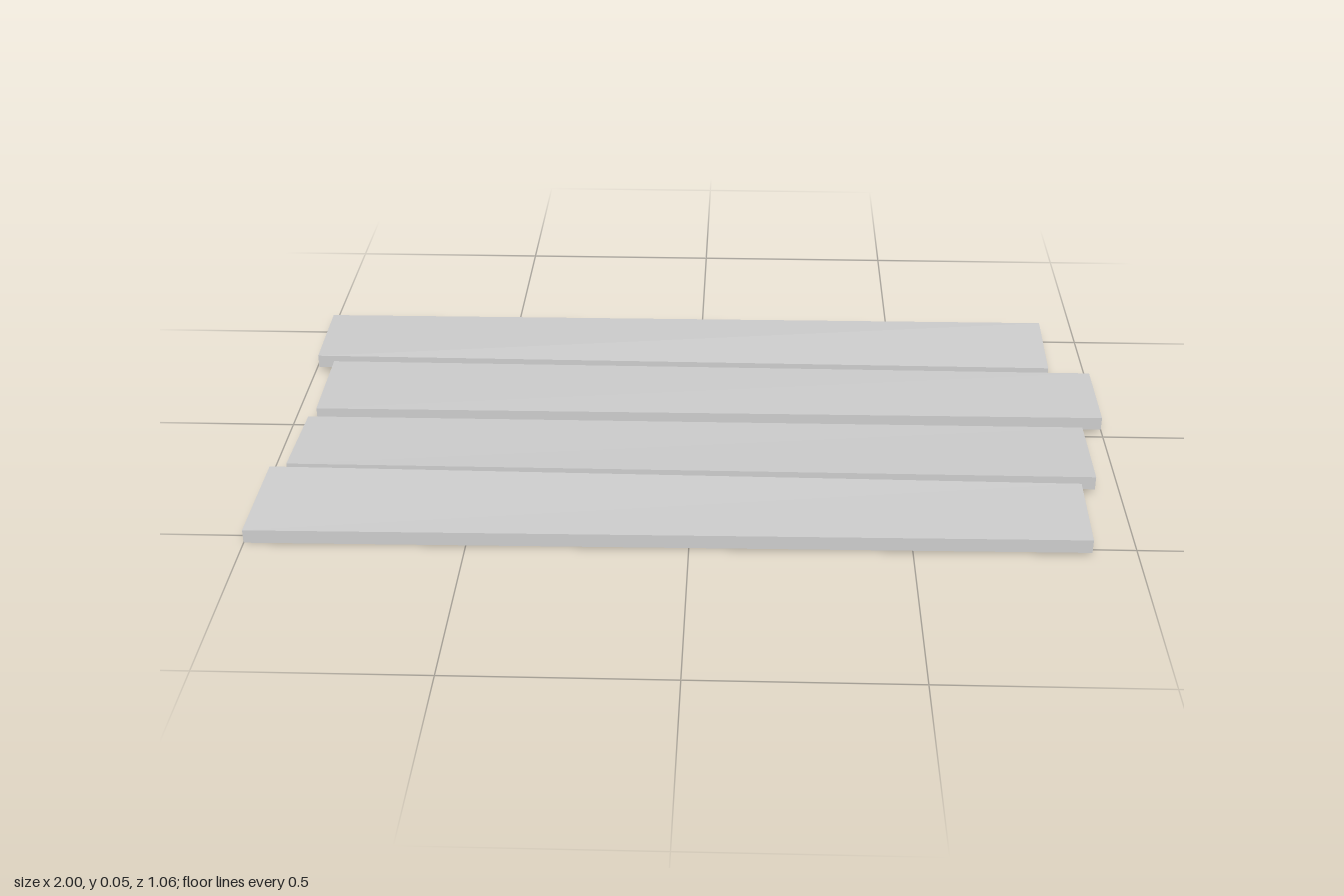
import * as THREE from 'three';

const THICKNESS = 0.033;

// Each end: x and z of the back and front corners, and the underside height there
const planks = [
  { name: 'backPlank',
    right: { x: [-1, -0.99], z: [-0.535, -0.28], y: [0.002, 0.013] },
    left: { x: [0.905, 0.9], z: [-0.525, -0.287], y: [0.012, 0.003] } },
  { name: 'middleBackPlank',
    right: { x: [-0.947, -0.94], z: [-0.268, -0.008], y: [0.004, 0.011] },
    left: { x: [1, 0.997], z: [-0.257, -0.02], y: [0.006, 0.01] } },
  { name: 'middleFrontPlank',
    right: { x: [-0.955, -0.958], z: [0.02, 0.256], y: [0.004, 0.011] },
    left: { x: [0.945, 0.94], z: [0.012, 0.265], y: [0.001, 0.014] } },
  { name: 'frontPlank',
    right: { x: [-0.993, -1], z: [0.275, 0.529], y: [0.014, 0.001] },
    left: { x: [0.904, 0.898], z: [0.285, 0.52], y: [0.008, 0.006] } },
];

// A board whose corners are shifted to give each end its own width and tilt
function makePlank({ name, right, left }, material) {
  const geometry = new THREE.BoxGeometry(1, 1, 1);
  const p = geometry.attributes.position;
  for (let i = 0; i < p.count; i++) {
    const end = p.getX(i) < 0 ? right : left;
    const side = p.getZ(i) < 0 ? 0 : 1;
    const lift = p.getY(i) < 0 ? 0 : THICKNESS;
    p.setXYZ(i, end.x[side], end.y[side] + lift, end.z[side]);
  }
  geometry.computeVertexNormals();
  const mesh = new THREE.Mesh(geometry, material);
  mesh.name = name;
  return mesh;
}

export function createModel() {
  const group = new THREE.Group();
  group.name = 'planks';
  const material = new THREE.MeshStandardMaterial({ color: 0xcccccc, flatShading: true });
  for (const plank of planks) group.add(makePlank(plank, material));
  return group;
}
